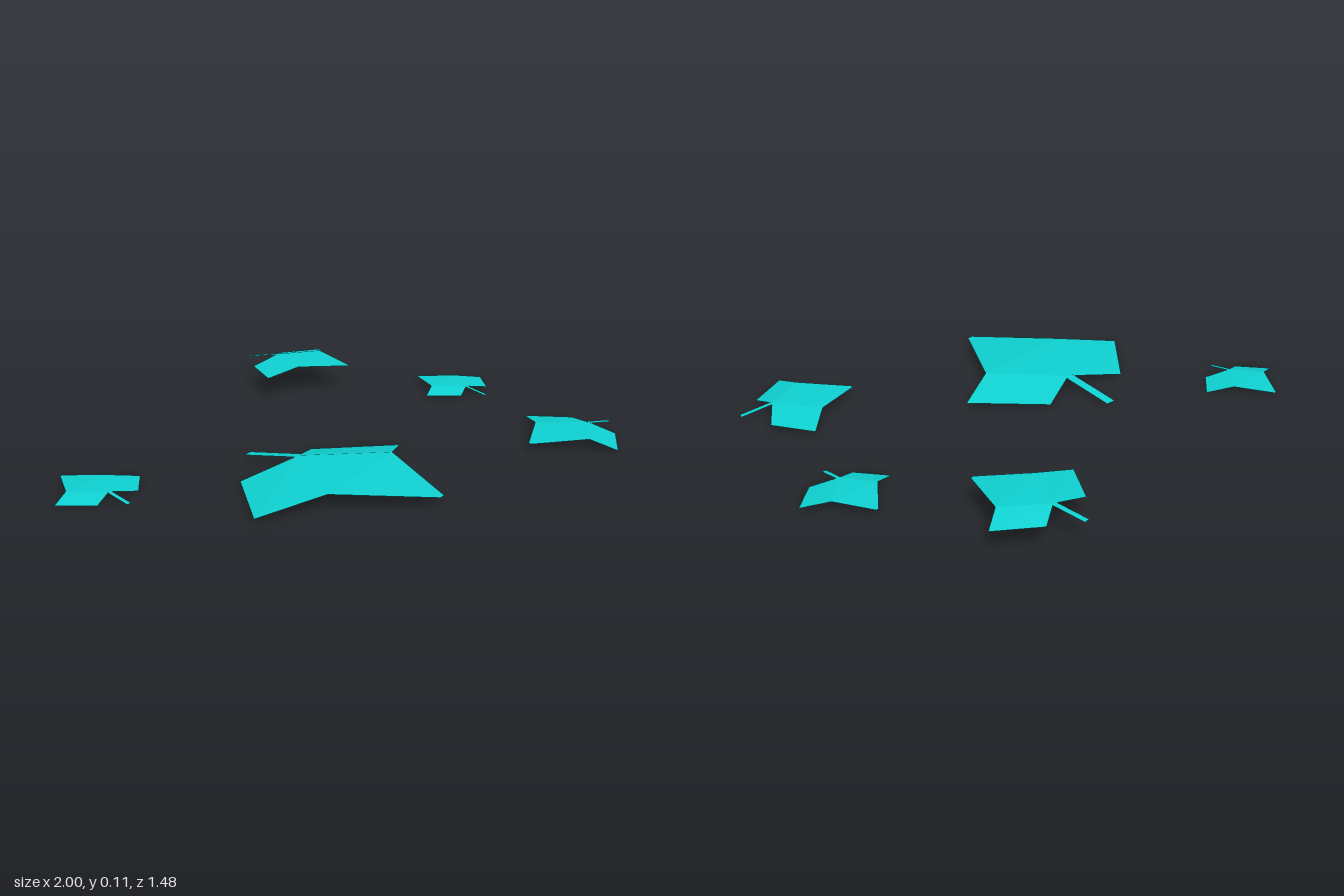
import * as THREE from 'three';

// Builds a faceted surface from flat polygons, each split as a fan from its first corner
function polygonSurface(polygons) {
  const pos = [];
  for (const p of polygons) {
    for (let i = 1; i < p.length - 1; i++) pos.push(...p[0], ...p[i], ...p[i + 1]);
  }
  const geo = new THREE.BufferGeometry();
  geo.setAttribute('position', new THREE.Float32BufferAttribute(pos, 3));
  geo.computeVertexNormals();
  return geo;
}

export function createModel() {
  const model = new THREE.Group();
  model.name = 'scatteredLeaves';
  const leafTeal = new THREE.MeshStandardMaterial({ color: 0x0fd0d0 });
  leafTeal.name = 'leafTeal';
  leafTeal.side = THREE.DoubleSide;
  leafTeal.flatShading = true;

  // Key points of one leaf: the stem joins at the origin, the tip points to +z
  const base = [0, 0, 0];
  const notchR = [0.21, 0, 0.228], notchL = [-0.201, -0.002, 0.268];
  const lobeR = [0.371, -0.04, 0.152], lobeL = [-0.411, -0.04, 0.152];
  const shoulderR = [0.156, -0.04, -0.067], shoulderL = [-0.21, -0.04, -0.072];
  const tipR = [0.034, -0.016, 0.537], tipL = [0.011, -0.016, 0.537];

  const blade = polygonSurface([
    [base, notchL, notchR],                // middle
    [notchL, tipL, tipR, notchR],          // tip lobe
    [base, notchR, lobeR, shoulderR],      // side lobes folded down
    [base, shoulderL, lobeL, notchL],
  ]);
  // Flat ribbon stem sloping down from the blade
  const stem = polygonSurface([
    [[-0.033, -0.037, -0.208], [-0.02, 0, 0], [0.018, 0, 0], [0.006, -0.037, -0.208]],
  ]);

  // Placement: x, y, z of the stem joint, turn, size
  const leaves = [
    ['largeLeaf', -0.2, 0.052, 0.26, 0.464, 1],
    ['backLeaf', 0.144, 0.107, -0.65, 0.65, 0.57],
    ['rightLeaf', 0.88, 0.036, 0.39, -1.402, 0.57],
    ['smallRightLeaf', 0.73, 0.026, -0.177, -2.797, 0.435],
    ['smallLeftLeaf', -0.824, 0.018, 0.2, -2.783, 0.435],
  ];
  for (const [name, x, y, z, turn, size] of leaves) {
    const leaf = new THREE.Group();
    leaf.name = name;
    for (const [part, geo] of [['blade', blade], ['stem', stem]]) {
      const mesh = new THREE.Mesh(geo, leafTeal);
      mesh.name = part;
      leaf.add(mesh);
    }
    leaf.position.set(x, y, z);
    leaf.rotation.y = turn;
    leaf.scale.setScalar(size);
    model.add(leaf);
  }
  return model;
}
